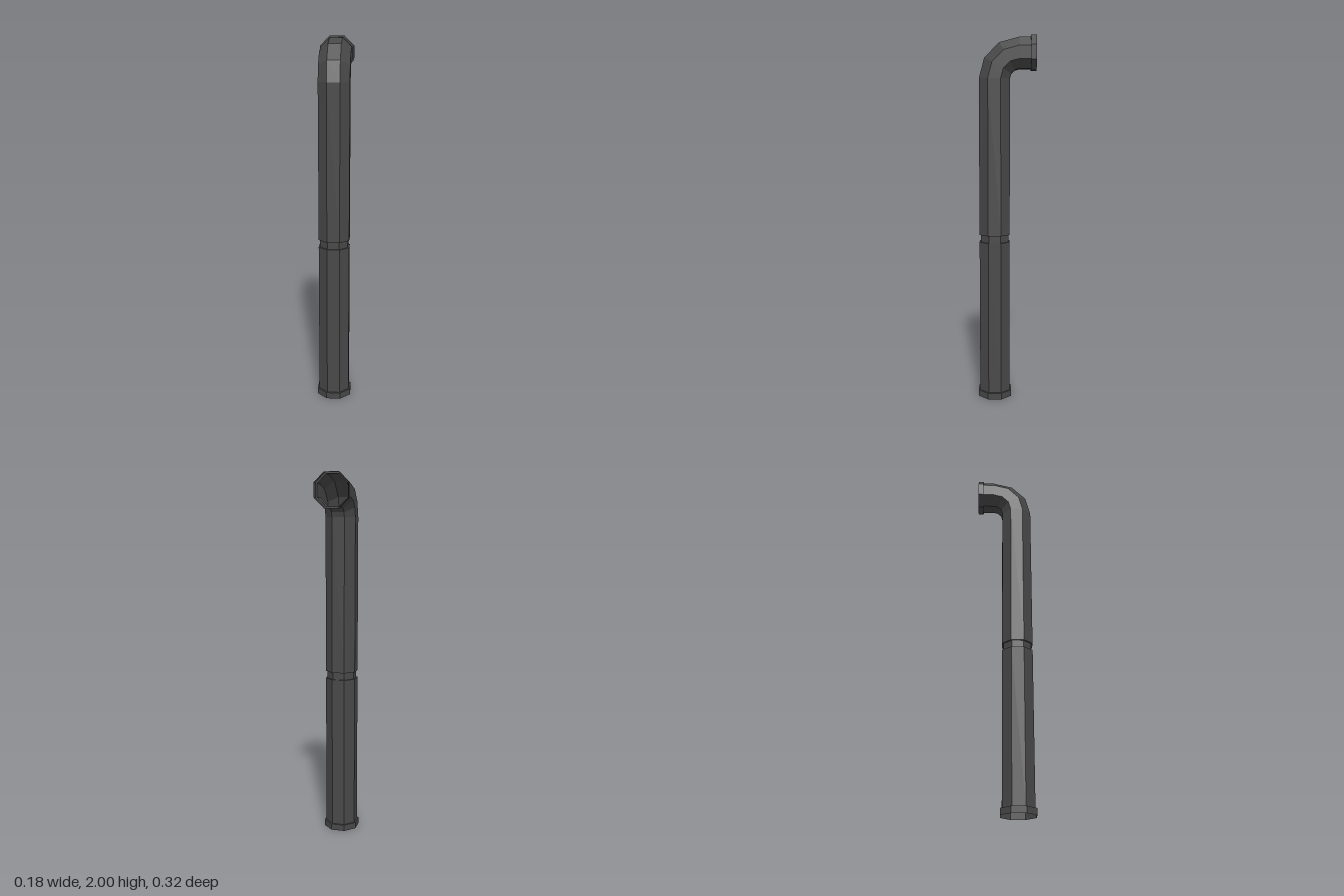
import * as THREE from 'three';

const SIDES = 8;
const PIPE = 0.083, FLANGE = 0.092, NECK = 0.075; // apothems
const AXIS_Z = 0.067, BEND_Y = 1.773, BEND_Z = -0.068, BEND_R = 0.135, END_Z = -0.159;

// Ring on the vertical run, in the bend, and on the horizontal outlet
const up = (y, r) => ({ y, z: AXIS_Z, t: 0, r });
const bend = (t, r) => ({
  y: BEND_Y + BEND_R * Math.sin(t), z: BEND_Z + BEND_R * Math.cos(t), t, r,
});
const out = (z, r) => ({ y: BEND_Y + BEND_R, z, t: Math.PI / 2, r });

// Corner j of an octagonal ring, with its flats facing the axes
function corner(ring, j) {
  const a = ((j + 0.5) / SIDES) * Math.PI * 2;
  const R = ring.r / Math.cos(Math.PI / SIDES);
  const u = R * Math.sin(a);
  return [R * Math.cos(a), ring.y + u * Math.sin(ring.t), ring.z + u * Math.cos(ring.t)];
}

// Faceted open skin through a list of rings
function loft(name, rings, material) {
  const pos = [];
  for (let i = 0; i < rings.length - 1; i++) {
    for (let j = 0; j < SIDES; j++) {
      const a = corner(rings[i], j), b = corner(rings[i + 1], j);
      const c = corner(rings[i + 1], j + 1), d = corner(rings[i], j + 1);
      pos.push(...a, ...b, ...c, ...a, ...c, ...d);
    }
  }
  const geo = new THREE.BufferGeometry();
  geo.setAttribute('position', new THREE.Float32BufferAttribute(pos, 3));
  geo.computeVertexNormals();
  const mesh = new THREE.Mesh(geo, material);
  mesh.name = name;
  return mesh;
}

export function createModel() {
  const group = new THREE.Group();
  group.name = 'bentPipe';
  const metal = new THREE.MeshStandardMaterial({
    color: 0x484848, flatShading: true, side: THREE.DoubleSide,
  });
  metal.name = 'dark grey metal';

  // Hollow flange at the foot, with a step in to the pipe
  group.add(loft('bottomFlange', [up(0, FLANGE), up(0.035, FLANGE), up(0.035, PIPE)], metal));
  group.add(loft('lowerPipe', [up(0.035, PIPE), up(0.885, PIPE)], metal));

  // Narrow groove at the joint
  group.add(loft('jointGroove',
    [up(0.885, PIPE), up(0.885, NECK), up(0.925, NECK), up(0.925, PIPE)], metal));
  group.add(loft('upperPipe', [up(0.925, PIPE), up(BEND_Y, PIPE)], metal));

  // Quarter bend in three segments, then the short outlet
  const elbow = [0, 1, 2, 3].map((i) => bend((i * Math.PI) / 6, PIPE));
  group.add(loft('elbow', elbow, metal));
  group.add(loft('outletPipe', [out(BEND_Z, PIPE), out(END_Z + 0.03, PIPE)], metal));

  // Hollow flange at the outlet
  group.add(loft('outletFlange',
    [out(END_Z + 0.03, PIPE), out(END_Z + 0.03, FLANGE), out(END_Z, FLANGE)], metal));

  return group;
}
